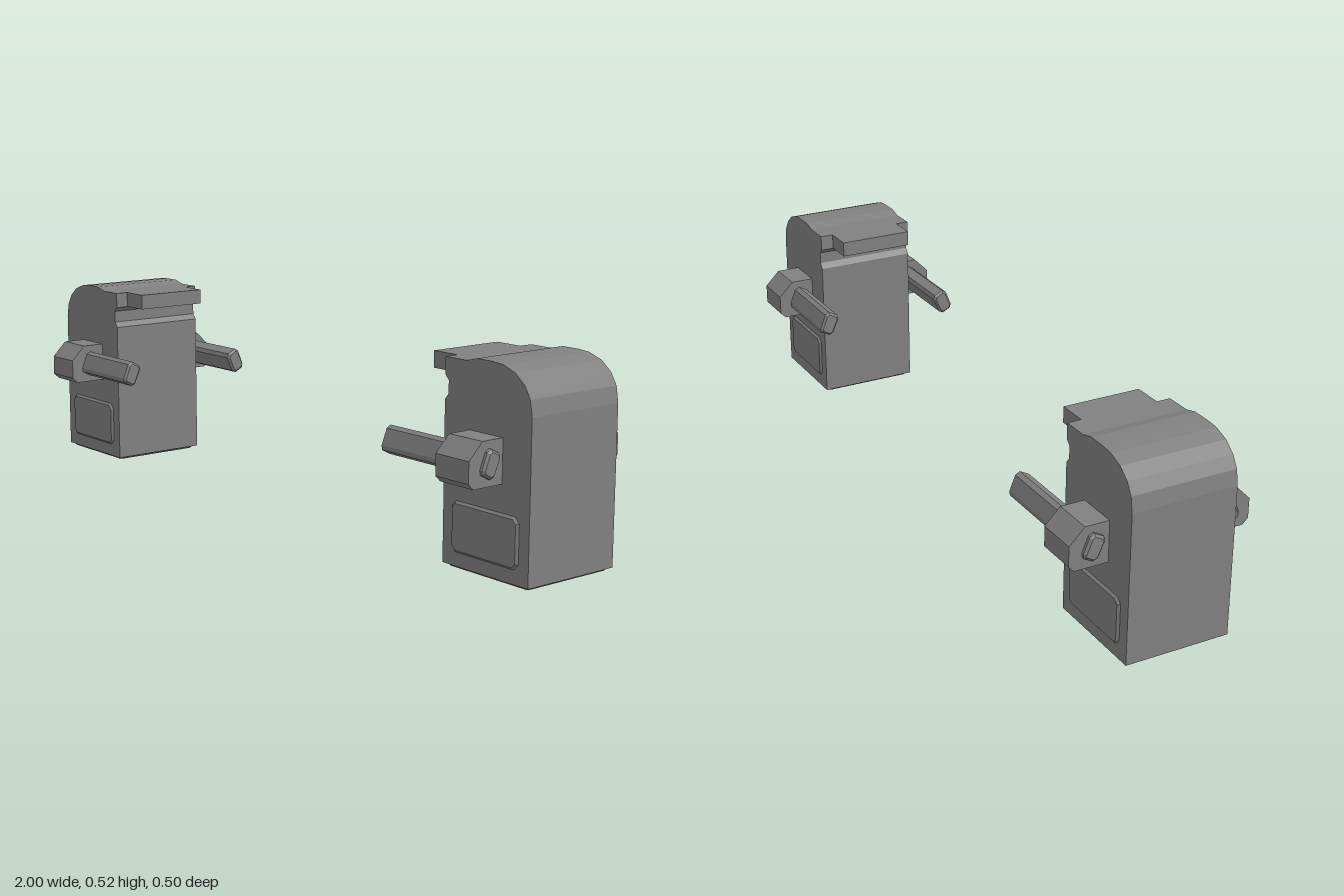
import * as THREE from 'three';

const grey = new THREE.MeshStandardMaterial({ color: 0x808080 });
grey.name = 'grey';
grey.flatShading = true;

// Extrudes a list of [u, v] points along z from `from` to `to`, with an optional inward chamfer on both ends.
function prism(points, from, to, chamfer = 0) {
  const shape = new THREE.Shape(points.map(([u, v]) => new THREE.Vector2(u, v)));
  const geometry = new THREE.ExtrudeGeometry(shape, {
    depth: to - from - 2 * chamfer, bevelEnabled: chamfer > 0, bevelSegments: 1,
    bevelSize: chamfer, bevelThickness: chamfer, bevelOffset: -chamfer,
  });
  return geometry.translate(0, 0, from + chamfer);
}

// Extrudes a [z, y] profile along x.
function prismAlongX(profile, from, to, chamfer) {
  return prism(profile.map(([z, y]) => [-z, y]), from, to, chamfer).rotateY(Math.PI / 2);
}

// Rectangle with cut corners.
function cutRectangle(x0, x1, y0, y1, c) {
  return [[x0 + c, y0], [x1 - c, y0], [x1, y0 + c], [x1, y1 - c],
    [x1 - c, y1], [x0 + c, y1], [x0, y1 - c], [x0, y0 + c]];
}

function createUnit(name) {
  const unit = new THREE.Group();
  unit.name = name;
  const add = (part, geometry) => {
    const mesh = new THREE.Mesh(geometry, grey);
    mesh.name = part;
    unit.add(mesh);
  };

  // Block with a rounded outer shoulder and a small notch under the inner lip
  add('body', prism([
    [0.715, 0.007], [1, 0.007], [1, 0.405], [0.993, 0.445], [0.975, 0.475], [0.945, 0.499],
    [0.905, 0.513], [0.87, 0.516], [0.82, 0.516], [0.785, 0.507], [0.715, 0.507],
    [0.715, 0.465], [0.727, 0.452], [0.727, 0.42], [0.715, 0.405],
  ], -0.142, 0.142));

  // Chamfered foot plate under the block
  const foot = prism(cutRectangle(0.718, 0.997, -0.139, 0.139, 0.012), -0.008, 0.02, 0.008);
  add('footPlate', foot.rotateX(-Math.PI / 2).translate(0, 0.008, 0));

  // Tab on the inner lip
  add('tab', new THREE.BoxGeometry(0.1, 0.042, 0.21).translate(0.685, 0.486, 0));

  for (const side of [1, -1]) {
    const end = side > 0 ? 'front' : 'back';
    const mirror = (profile) => profile.map(([z, y]) => [z * side, y]);

    // Raised panel
    const z = side > 0 ? [0.136, 0.148] : [-0.148, -0.136];
    add(end + 'Panel', prism(cutRectangle(0.746, 0.968, 0.042, 0.168, 0.014), ...z, 0.006));

    // Bracket that holds the rod
    add(end + 'Bracket', prismAlongX(mirror([
      [0.135, 0.345], [0.207, 0.345], [0.248, 0.304], [0.248, 0.251], [0.233, 0.236], [0.135, 0.236],
    ]), 0.8, 0.91));

    // Slanted eight-sided rod
    add(end + 'Rod', prismAlongX(mirror([
      [0.214, 0.279], [0.198, 0.319], [0.186, 0.326], [0.161, 0.313],
      [0.157, 0.301], [0.175, 0.26], [0.188, 0.254], [0.2125, 0.267],
    ]), 0.566, 0.923, 0.006));
  }
  return unit;
}

export function createModel() {
  const model = new THREE.Group();
  model.name = 'pairedBlocks';
  const left = createUnit('leftUnit');
  const right = createUnit('rightUnit');
  // The unit is symmetric front to back, so a half turn mirrors it
  right.rotation.y = Math.PI;
  model.add(left, right);
  return model;
}
